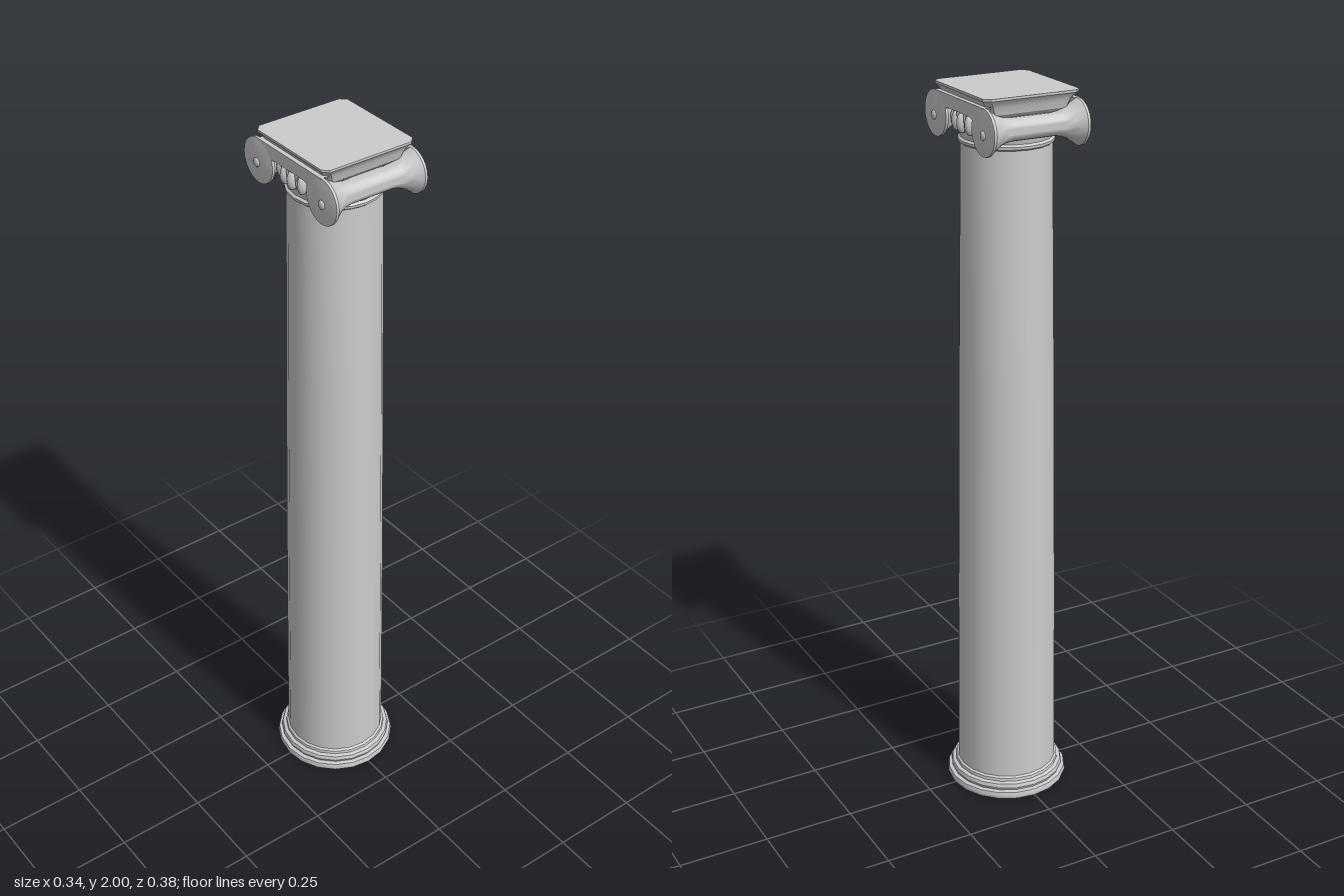
import * as THREE from 'three';
import { toCreasedNormals } from 'three/addons/utils/BufferGeometryUtils.js';

const grey = new THREE.MeshStandardMaterial({ color: 0xcccccc, side: THREE.DoubleSide });

function add(parent, name, geometry) {
  const mesh = new THREE.Mesh(geometry, grey);
  mesh.name = name;
  parent.add(mesh);
  return mesh;
}

// Profile of [radius, height] pairs turned around y
function turned(points, segments = 20) {
  const g = new THREE.LatheGeometry(points.map(([r, y]) => new THREE.Vector2(r, y)), segments);
  return toCreasedNormals(g, 0.6);
}

// Stack of chamfered rectangles [halfX, y, halfZ], closed at both ends
function chamferedStack(rings, chamfer) {
  const pos = [], idx = [], n = 8;
  for (const [x, y, z] of rings) {
    const a = x - chamfer, b = z - chamfer;
    for (const [px, pz] of [[x, b], [x, -b], [a, -z], [-a, -z], [-x, -b], [-x, b], [-a, z], [a, z]])
      pos.push(px, y, pz);
  }
  for (let r = 0; r < rings.length - 1; r++)
    for (let i = 0; i < n; i++) {
      const a = r * n + i, b = r * n + (i + 1) % n;
      idx.push(a, b, b + n, a, b + n, a + n);
    }
  const top = (rings.length - 1) * n;
  for (let i = 1; i < n - 1; i++) idx.push(0, i + 1, i, top, top + i, top + i + 1);
  const g = new THREE.BufferGeometry();
  g.setAttribute('position', new THREE.Float32BufferAttribute(pos, 3));
  g.setIndex(idx);
  g.computeVertexNormals();
  return toCreasedNormals(g, 0.4);
}

export function createModel() {
  const column = new THREE.Group();
  column.name = 'column';

  // Hollow shaft and moulded base, open underneath
  add(column, 'base', turned([
    [0.142, 0], [0.168, 0], [0.171, 0.008], [0.168, 0.02], [0.157, 0.022],
    [0.16, 0.03], [0.157, 0.041], [0.147, 0.044], [0.146, 0.053], [0.14, 0.057],
  ]));
  add(column, 'shaft', turned([[0.141, 0], [0.14, 0.057], [0.135, 0.6], [0.127, 1.25], [0.118, 1.86]]));

  // Capital: collar and flared cushion beneath the scrolls
  const capital = new THREE.Group();
  capital.name = 'capital';
  column.add(capital);
  add(capital, 'collar', turned([[0.118, 1.858], [0.123, 1.862], [0.124, 1.869], [0.118, 1.874]]));
  add(capital, 'cushion', turned([[0.117, 1.872], [0.12, 1.885], [0.125, 1.91], [0.127, 1.945], [0, 1.945]]));

  // Abacus with a tapered underside
  add(capital, 'abacus', chamferedStack([
    [0.1, 1.945, 0.115], [0.115, 1.955, 0.125], [0.122, 1.975, 0.13],
    [0.127, 1.984, 0.134], [0.135, 1.994, 0.142], [0.135, 2, 0.142],
  ], 0.015));

  // Scroll bolsters running across the front and back, with an eye at each end
  const half = [[0.137, 0], [0.137, 0.052], [0.135, 0.06], [0.128, 0.06], [0.118, 0.052],
    [0.1, 0.04], [0.08, 0.032], [0.06, 0.029]];
  const profile = [...half.map(([x, r]) => [r, -x]), ...half.slice().reverse().map(([x, r]) => [r, x])];
  for (const side of [1, -1]) {
    const bolster = add(capital, side > 0 ? 'frontBolster' : 'backBolster', turned(profile, 24));
    bolster.rotation.z = Math.PI / 2;
    bolster.position.set(0, 1.918, side * 0.128);
    for (const x of [-1, 1]) {
      const eye = add(capital, 'scrollEye', new THREE.SphereGeometry(0.012, 12, 8));
      eye.scale.x = 0.5;
      eye.position.set(x * 0.137, 1.912, side * 0.132);
    }
  }

  // Bands joining the scrolls on the left and right faces
  const band = new THREE.Shape();
  band.moveTo(-0.128, 1.978);
  band.lineTo(0.128, 1.978);
  band.lineTo(0.09, 1.925);
  band.quadraticCurveTo(0.075, 1.944, 0.05, 1.944);
  band.lineTo(-0.05, 1.944);
  band.quadraticCurveTo(-0.075, 1.944, -0.09, 1.925);
  band.closePath();
  const bandGeometry = new THREE.ExtrudeGeometry(band, { depth: 0.025, bevelEnabled: false, curveSegments: 6 });
  bandGeometry.rotateY(Math.PI / 2);
  for (const side of [1, -1]) {
    const mesh = add(capital, side > 0 ? 'leftBand' : 'rightBand', bandGeometry);
    mesh.position.x = side > 0 ? 0.111 : -0.136;

    // Egg ornaments with darts between them
    for (let i = -2; i <= 2; i++) {
      const holder = new THREE.Group();
      holder.name = 'eggAndDart';
      holder.rotation.y = (side > 0 ? 0 : Math.PI) + i * 0.27;
      capital.add(holder);
      const egg = add(holder, 'egg', new THREE.SphereGeometry(1, 10, 8));
      egg.scale.set(0.016, 0.027, 0.012);
      egg.position.set(0.125, 1.917, 0);
      if (i === 2) continue;
      const dart = add(holder, 'dart', new THREE.ConeGeometry(0.005, 0.05, 4));
      dart.rotation.x = Math.PI;
      dart.position.set(0.128 * Math.cos(0.135), 1.917, -0.128 * Math.sin(0.135));
    }
  }
  return column;
}
